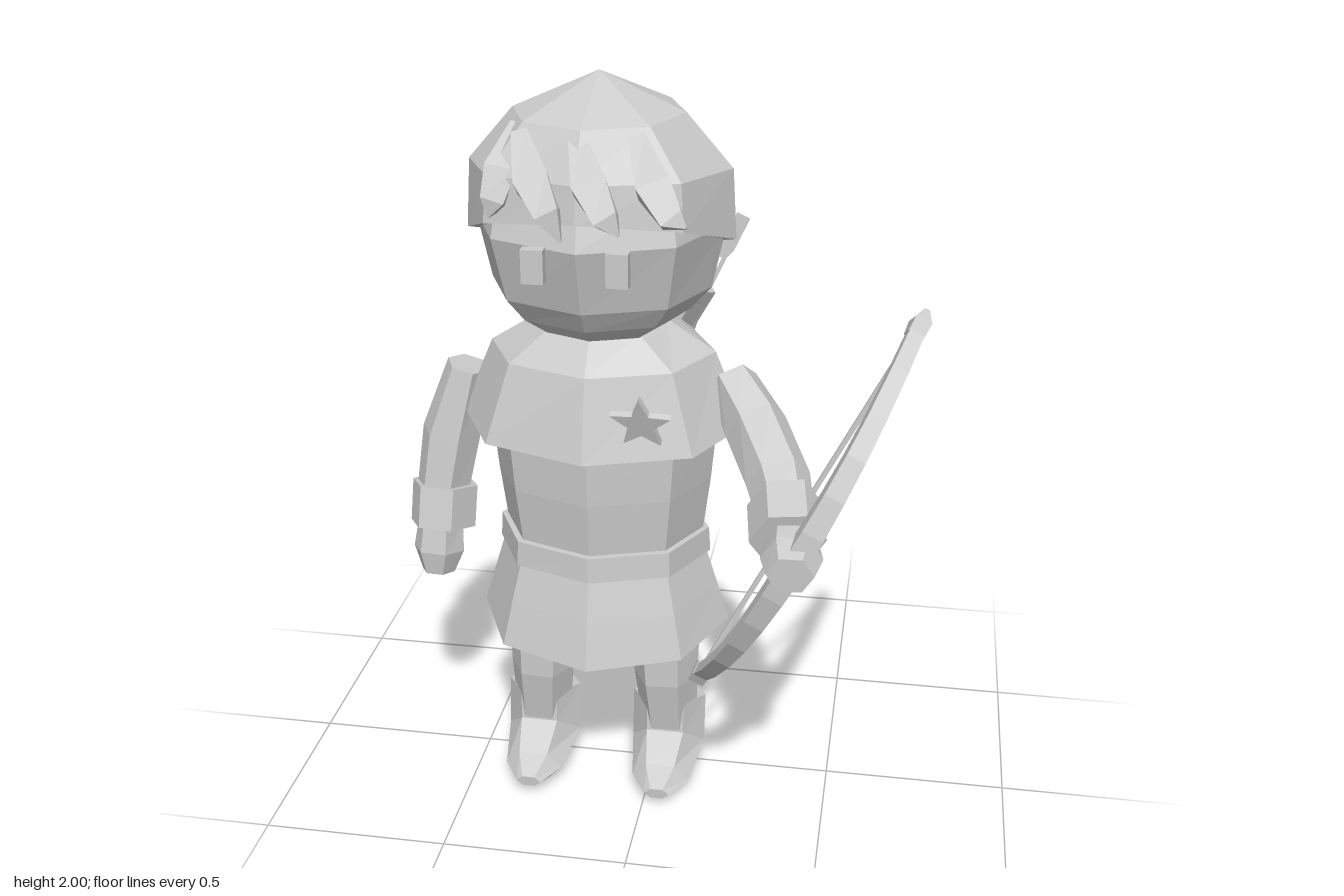
import * as THREE from 'three';

const stone = new THREE.MeshStandardMaterial({ color: 0xcccccc, flatShading: true, side: THREE.DoubleSide });
stone.name = 'plain grey';
const CX = -0.142; // body axis
const V = (x, y, z) => new THREE.Vector3(x, y, z);

function mesh(name, geometry) {
  const m = new THREE.Mesh(geometry, stone);
  m.name = name;
  return m;
}

// Skin a list of equal rings and close both ends
function skin(name, rings) {
  const pos = [];
  const tri = (...ps) => ps.forEach((p) => pos.push(p.x, p.y, p.z));
  const n = rings[0].length;
  const centre = (r) => r.reduce((s, p) => s.add(p), V(0, 0, 0)).divideScalar(n);
  const first = rings[0], last = rings[rings.length - 1];
  const c0 = centre(first), c1 = centre(last);
  for (let j = 0; j < n; j++) {
    const k = (j + 1) % n;
    for (let i = 0; i < rings.length - 1; i++) {
      const a = rings[i], b = rings[i + 1];
      tri(a[j], a[k], b[k]);
      tri(a[j], b[k], b[j]);
    }
    tri(c0, first[k], first[j]);
    tri(c1, last[j], last[k]);
  }
  const g = new THREE.BufferGeometry();
  g.setAttribute('position', new THREE.Float32BufferAttribute(pos, 3));
  g.computeVertexNormals();
  return mesh(name, g);
}

// Level eight-sided rings, bottom to top: [y, rx, rz, z offset, rise toward the front]
function stack(name, rows) {
  return skin(name, rows.map(([y, rx, rz, cz = 0, tilt = 0]) =>
    Array.from({ length: 8 }, (_, j) => {
      const a = (j / 8) * Math.PI * 2;
      return V(CX + rx * Math.sin(a), y + tilt * Math.cos(a), cz + rz * Math.cos(a));
    })));
}

// Sections along a path: [x, y, z, half width along ref, half depth]
function limb(name, rows, sides = 6, ref = V(1, 0, 0)) {
  const pts = rows.map((r) => V(r[0], r[1], r[2]));
  return skin(name, rows.map((r, i) => {
    const t = pts[Math.min(i + 1, pts.length - 1)].clone().sub(pts[Math.max(i - 1, 0)]).normalize();
    const u = ref.clone().addScaledVector(t, -ref.dot(t)).normalize();
    const v = u.clone().cross(t);
    return Array.from({ length: sides }, (_, j) => {
      const a = ((j + 0.5) / sides) * Math.PI * 2, k = 1 / Math.cos(Math.PI / sides);
      return pts[i].clone().addScaledVector(u, r[3] * k * Math.sin(a)).addScaledVector(v, r[4] * k * Math.cos(a));
    });
  }));
}

function head() {
  const g = new THREE.Group();
  g.name = 'head';
  g.add(stack('face', [[1.335, 0.14, 0.14], [1.4, 0.235, 0.225], [1.46, 0.288, 0.265], [1.63, 0.325, 0.315], [1.76, 0.3, 0.27]]));
  g.add(stack('cap', [
    [1.59, 0.32, 0.285, 0, 0.105], [1.59, 0.349, 0.312, 0, 0.11],
    [1.77, 0.338, 0.302, -0.005, 0.02], [1.905, 0.22, 0.227, -0.005], [2, 0.002, 0.002, -0.015],
  ]));
  for (const s of [-1, 1]) {
    const eye = mesh('eye', new THREE.BoxGeometry(0.055, 0.085, 0.03));
    eye.position.set(CX + s * 0.103, 1.597, 0.312);
    g.add(eye);
  }
  // Fringe tufts sweeping down over the brow: start x, sweep, tip height, z shift
  for (const [x, d, y, z] of [[-0.32, -0.05, 1.69, -0.105], [-0.3, 0.125, 1.66, -0.025], [-0.155, 0.125, 1.69, 0], [-0.015, 0.14, 1.71, -0.025]]) {
    g.add(limb('fringeTuft', [
      [x, 1.88, 0.2 + z, 0.02, 0.018], [x + d * 0.4, 1.79, 0.3 + z, 0.042, 0.03],
      [x + d * 0.75, 1.725, 0.335 + z, 0.03, 0.02], [x + d, y, 0.345 + z, 0.003, 0.003],
    ], 4));
  }
  g.add(limb('capTail', [
    [CX, 1.825, -0.25, 0.075, 0.045], [CX, 1.715, -0.43, 0.092, 0.075],
    [CX, 1.51, -0.478, 0.088, 0.077], [CX, 1.32, -0.465, 0.055, 0.055], [CX, 1.13, -0.415, 0.006, 0.006],
  ]));
  return g;
}

function body() {
  const g = new THREE.Group();
  g.name = 'body';
  g.add(stack('tunic', [[0.74, 0.27, 0.215], [0.92, 0.293, 0.232], [1.1, 0.31, 0.238], [1.25, 0.24, 0.19]]));
  g.add(stack('belt', [[0.7, 0.294, 0.242], [0.77, 0.29, 0.237]]));
  g.add(stack('skirt', [[0.49, 0.348, 0.295, 0, -0.03], [0.6, 0.315, 0.262, 0, -0.01], [0.72, 0.278, 0.225]]));
  g.add(stack('shoulderCape', [
    [1.08, 0.36, 0.275, 0, -0.015], [1.08, 0.384, 0.29, 0, -0.015], [1.28, 0.3, 0.243, -0.01], [1.36, 0.17, 0.185, -0.02],
  ]));
  // Hood folded down on the back
  g.add(limb('foldedHood', [
    [CX, 1.39, -0.14, 0.15, 0.05], [CX, 1.31, -0.28, 0.2, 0.065],
    [CX, 1.21, -0.325, 0.17, 0.055], [CX, 1.13, -0.3, 0.05, 0.04],
  ]));
  // Star badge
  const star = new THREE.Shape(Array.from({ length: 10 }, (_, i) => {
    const a = (i / 10) * Math.PI * 2, r = i % 2 ? 0.035 : 0.08;
    return new THREE.Vector2(r * Math.sin(a), r * Math.cos(a));
  }));
  const badge = mesh('starBadge', new THREE.ExtrudeGeometry(star, { depth: 0.02, bevelEnabled: false }));
  badge.position.set(0.015, 1.208, 0.3);
  badge.rotation.x = 0.35;
  g.add(badge);
  return g;
}

function leg(side) {
  const g = new THREE.Group();
  g.name = side > 0 ? 'leftLeg' : 'rightLeg';
  const x = CX + side * 0.183;
  g.add(limb('trouser', [
    [x + side * 0.002, 0.15, 0.02, 0.068, 0.065], [x - side * 0.005, 0.32, 0.04, 0.078, 0.078], [x - side * 0.012, 0.56, 0.03, 0.09, 0.09],
  ]));
  // Boot bending from the shaft into the pointed toe
  g.add(limb('boot', [
    [x, 0.23, 0, 0.09, 0.082], [x, 0.09, 0.02, 0.09, 0.092],
    [x, 0.05, 0.165, 0.07, 0.046], [x, 0.045, 0.24, 0.03, 0.015],
  ]));
  return g;
}

function rightArm() {
  const g = new THREE.Group();
  g.name = 'rightArm';
  g.add(limb('sleeve', [
    [-0.52, 1.19, -0.04, 0.05, 0.06], [-0.575, 0.99, -0.03, 0.07, 0.075], [-0.605, 0.8, 0, 0.062, 0.065],
  ]));
  g.add(limb('cuff', [[-0.595, 0.845, -0.01, 0.08, 0.083], [-0.6, 0.73, 0.015, 0.08, 0.083]]));
  g.add(limb('hand', [[-0.605, 0.74, 0.02, 0.055, 0.06], [-0.61, 0.66, 0.035, 0.062, 0.06], [-0.612, 0.595, 0.045, 0.04, 0.04]]));
  return g;
}

function leftArm() {
  const g = new THREE.Group();
  g.name = 'leftArm';
  g.add(limb('sleeve', [
    [0.2, 1.185, -0.03, 0.06, 0.07], [0.275, 1.11, 0.07, 0.072, 0.078], [0.35, 1.035, 0.22, 0.072, 0.07], [0.385, 0.98, 0.34, 0.062, 0.062],
  ]));
  g.add(limb('cuff', [[0.375, 1.0, 0.29, 0.082, 0.08], [0.395, 0.965, 0.42, 0.082, 0.08]]));
  g.add(limb('hand', [[0.4, 0.965, 0.39, 0.055, 0.055], [0.41, 0.95, 0.48, 0.066, 0.062], [0.413, 0.945, 0.555, 0.05, 0.045]]));
  return g;
}

function bow() {
  const g = new THREE.Group();
  g.name = 'bow';
  const at = (s, z) => [0.415 + 0.262 * s, 0.947 + 0.52 * s, z];
  const across = V(0.893, -0.45, 0);
  const rows = [];
  for (let i = -6; i <= 6; i++) {
    const s = i / 6, a = Math.abs(s);
    rows.push([...at(s, 0.2 + 0.3 * (1 - a ** 2.3)), 0.03 - 0.011 * a, 0.034 - 0.018 * a]);
  }
  g.add(limb('bowStave', rows, 4, across));
  for (const s of [-1, 1]) {
    g.add(limb('bowNock', [[...at(s * 0.95, 0.225), 0.021, 0.02], [...at(s, 0.2), 0.022, 0.03], [...at(s * 1.05, 0.18), 0.006, 0.01]], 4, across));
  }
  g.add(limb('bowString', [[...at(-0.97, 0.195), 0.006, 0.006], [...at(0.97, 0.195), 0.006, 0.006]], 4, across));
  return g;
}

function quiver() {
  const g = new THREE.Group();
  g.name = 'quiver';
  g.add(limb('quiverCase', [[-0.3, 0.77, -0.28, 0.074, 0.05], [0.04, 1.385, -0.298, 0.078, 0.07]]));
  // Arrows with flat flights
  for (const o of [-0.045, 0, 0.045]) {
    const x = 0.045 + o, y = 1.35 - o * 0.45;
    g.add(limb('arrowShaft', [[x, y, -0.3, 0.006, 0.006], [x + 0.1, y + 0.22, -0.31, 0.006, 0.006]], 4));
    g.add(limb('arrowFlight', [
      [x + 0.045, y + 0.11, -0.304, 0.008, 0.004], [x + 0.058, y + 0.14, -0.306, 0.02, 0.004], [x + 0.1, y + 0.23, -0.31, 0.02, 0.004],
    ], 4));
  }
  return g;
}

export function createModel() {
  const model = new THREE.Group();
  model.name = 'archer';
  model.add(head(), body(), leg(1), leg(-1), rightArm(), leftArm(), bow(), quiver());
  return model;
}
